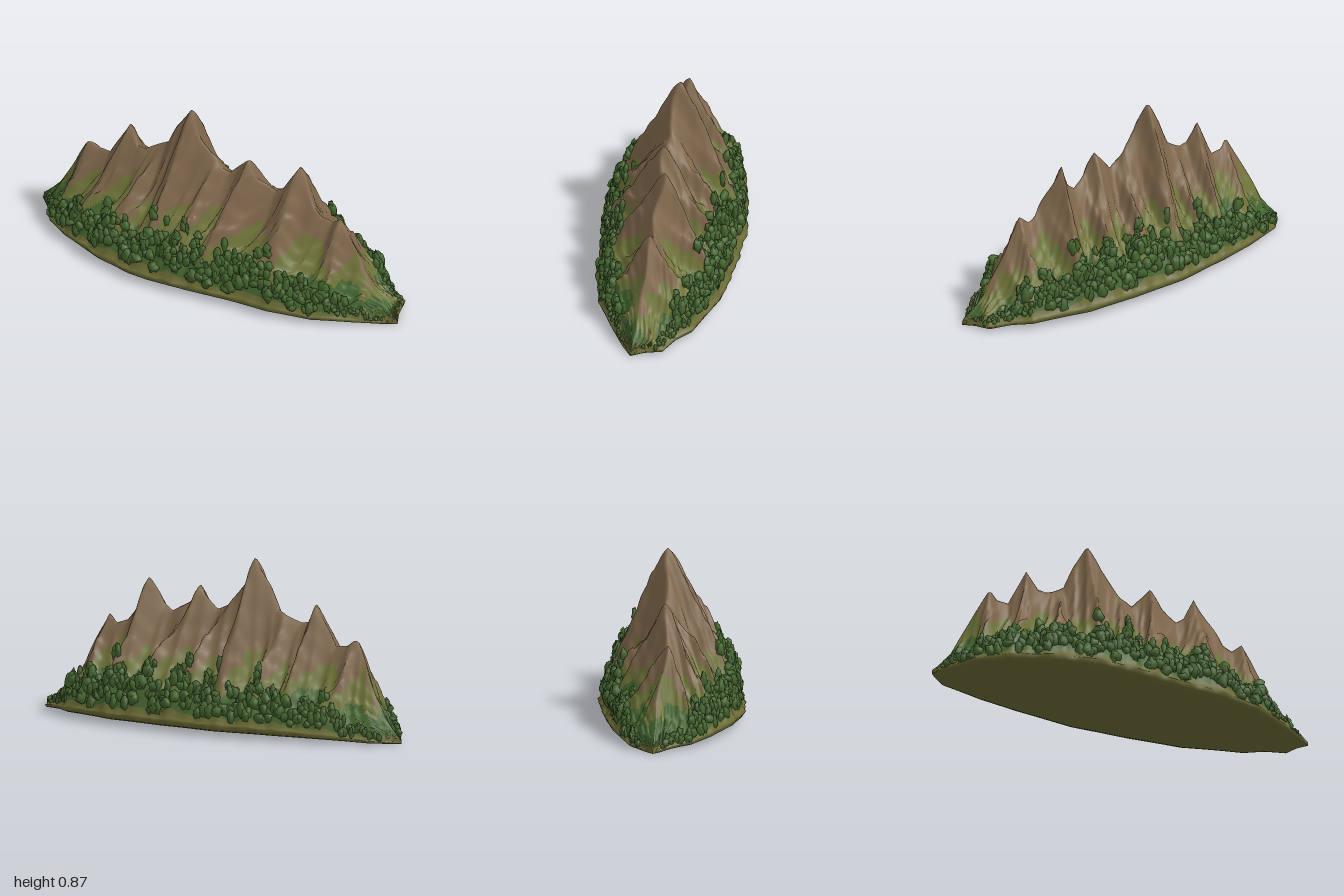
import * as THREE from 'three';
import { mergeGeometries, mergeVertices } from 'three/addons/utils/BufferGeometryUtils.js';

// Piecewise-linear curve through [x, value] points
const curve = (pts) => (x) => {
  let i = 0;
  while (i < pts.length - 2 && x > pts[i + 1][0]) i++;
  const [x0, a] = pts[i], [x1, b] = pts[i + 1];
  return a + (b - a) * Math.min(1, Math.max(0, (x - x0) / (x1 - x0)));
};
const mix = (a, b, t) => a + (b - a) * t;

// Footprint edges and the line of the ridge, as z along x
const backEdge = curve([[-1, 0.28], [-0.98, 0.23], [-0.92, 0.12], [-0.8, 0.02], [-0.7, -0.06], [-0.5, -0.18], [-0.2, -0.33],
  [0.1, -0.42], [0.38, -0.485], [0.7, -0.485], [0.8, -0.44], [0.91, -0.42], [0.95, -0.34], [1, -0.28]]);
const frontEdge = curve([[-1, 0.28], [-0.97, 0.31], [-0.9, 0.35], [-0.8, 0.43], [-0.65, 0.467], [-0.4, 0.483], [-0.2, 0.46],
  [-0.1, 0.43], [0.1, 0.345], [0.3, 0.25], [0.5, 0.17], [0.7, 0.05], [0.85, -0.1], [0.95, -0.21], [1, -0.28]]);
const ridgeZ = curve([[-1, 0.28], [-0.85, 0.24], [-0.7, 0.25], [-0.6, 0.19], [-0.5, 0.16], [-0.4, 0.14], [-0.3, 0.07],
  [-0.17, 0.04], [-0.05, 0.04], [0.06, -0.02], [0.16, -0.04], [0.28, -0.08], [0.4, -0.17], [0.52, -0.17],
  [0.65, -0.22], [0.85, -0.25], [1, -0.28]]);

// Skyline with its peaks, and the smoother body below them
const skyline = curve([[-1, 0.015], [-0.95, 0.07], [-0.9, 0.13], [-0.85, 0.23], [-0.78, 0.36], [-0.71, 0.485], [-0.69, 0.49],
  [-0.66, 0.46], [-0.6, 0.455], [-0.5, 0.66], [-0.44, 0.56], [-0.4, 0.555], [-0.3, 0.62], [-0.25, 0.74],
  [-0.18, 0.865], [-0.165, 0.865], [-0.1, 0.74], [0, 0.61], [0.06, 0.58], [0.1, 0.63], [0.16, 0.695], [0.22, 0.6],
  [0.3, 0.55], [0.34, 0.58], [0.4, 0.715], [0.47, 0.6], [0.55, 0.48], [0.6, 0.46], [0.65, 0.5], [0.7, 0.42],
  [0.8, 0.24], [0.87, 0.13], [0.95, 0.06], [1, 0.015]]);
const body = curve([[-1, 0.015], [-0.85, 0.22], [-0.65, 0.47], [-0.3, 0.6], [0, 0.63], [0.4, 0.6], [0.65, 0.45],
  [0.85, 0.19], [1, 0.015]]);
const slope = curve([[0, 1], [0.04, 0.99], [0.1, 0.955], [0.2, 0.88], [0.4, 0.74], [0.6, 0.6], [0.8, 0.38],
  [0.88, 0.22], [0.94, 0.07], [1, 0]]);
// Spurs descend from the peaks and from between them, at whole numbers
const spurs = curve([[-1, -2], [-0.7, 0], [-0.5, 1], [-0.17, 3], [0.16, 5], [0.4, 6], [0.65, 7], [1, 9]]);

const rimY = (x) => 0.006 + 0.052 * (1 - x ** 4);
const floorY = (x) => 0.024 * (1 - Math.abs(x) ** 5);

// 0 on the spurs, 1 in the gullies; s runs from -1 (back) to 1 (front)
function gully(x, s) {
  const t = Math.abs(s), side = s < 0 ? 1.7 : 0;
  const p = Math.PI * spurs(x * (1 - 0.1 * t)) + t * 0.9 * Math.sin(x * 8 + side * 2);
  return 0.72 * Math.abs(Math.sin(p)) + 0.28 * Math.abs(Math.sin(p * 2.7 + t * 5 + side));
}

// Point on the mountain surface
function surface(x, s) {
  const t = Math.abs(s), rim = rimY(x), hump = Math.sin(Math.PI * t);
  const edge = s < 0 ? backEdge(x) : frontEdge(x);
  const top = Math.max(rim, mix(skyline(x), body(x), Math.min(1, 1.7 * t * t + 0.15 * t)));
  const carve = 0.15 * hump * gully(x, s) * Math.min(1, top / 0.5);
  const rough = 0.011 * Math.sin(x * 61 + s * 17) * Math.sin(s * 23 + x * 13) * hump;
  const y = Math.max(rim + 0.02 * Math.min(1, (1 - t) * 12) * (1 - x ** 4), rim + (top - rim) * slope(t) - carve + rough);
  const taper = 1 - x * x;
  const wobble = 0.012 * Math.sin(x * 33 + s * 3) * taper * hump;
  const crest = 0.012 * Math.sin(x * 40) * taper * (1 - t);
  const ragged = 0.007 * Math.sin(x * 47) * Math.sin(x * 19 + 1) * taper * s;
  return new THREE.Vector3(x, y, mix(ridgeZ(x), edge, t) + wobble + crest + ragged);
}

// Closed loop of cross-sections: over the top from back to front, then back underneath
function buildMountain(materials) {
  const cols = 240, half = 38, under = [0.97, 0.88, 0.4, -0.4, -0.88, -0.97];
  const ring = 2 * half + 1 + under.length;
  const pos = [], faces = [[], [], [], []];
  for (let i = 0; i <= cols; i++) {
    const x = -1 + (2 * i) / cols;
    for (let j = -half; j <= half; j++) pos.push(...surface(x, j / half).toArray());
    for (const s of under) {
      const edge = s < 0 ? backEdge(x) : frontEdge(x);
      const lift = Math.abs(s) > 0.9 ? 0.35 : 0;
      pos.push(x, mix(floorY(x), rimY(x), lift), mix(ridgeZ(x), edge, Math.abs(s)));
    }
  }
  // Rock above, meadow in the gullies, woodland below, grass at the rim and underneath
  const kind = (i, j) => {
    if (j >= 2 * half) return 3;
    const x = -1 + (2 * i + 1) / cols, s = (j + 0.5 - half) / half;
    const y = surface(x, s).y, g = gully(x, s);
    const n = 0.015 * Math.sin(x * 70 + s * 30) + 0.025 * Math.sin(x * 15 + s * 4);
    if (Math.abs(s) > 0.93 || y < rimY(x) + 0.025) return 3;
    const ends = 1 - 0.45 * x ** 4;
    const from = s < 0 ? 0.6 : 0.76;
    const thin = x > from ? Math.min(0.08, (x - from) * 0.6) : 0;
    if (y < (0.18 + 0.07 * g + n) * ends - thin) return 2;
    return y < (0.22 + 0.19 * g + n) * ends - thin * 0.8 ? 1 : 0;
  };
  for (let i = 0; i < cols; i++) {
    for (let j = 0; j < ring; j++) {
      const k = (j + 1) % ring;
      const a = i * ring + j, b = a + ring, c = i * ring + k, d = c + ring;
      faces[kind(i, j)].push(a, c, b, b, c, d);
    }
  }
  const geo = new THREE.BufferGeometry();
  geo.setAttribute('position', new THREE.Float32BufferAttribute(pos, 3));
  geo.setIndex(faces.flat());
  let start = 0;
  faces.forEach((f, m) => { geo.addGroup(start, f.length, m); start += f.length; });
  geo.computeVertexNormals();
  const mesh = new THREE.Mesh(geo, materials);
  mesh.name = 'mountainRange';
  return mesh;
}

let seed = 11;
const rand = () => {
  seed = (seed * 16807) % 2147483647;
  return seed / 2147483647;
};

// Ragged upright tree crown, mostly sunk into the slope
function crown(x, s, width, height) {
  const geo = new THREE.IcosahedronGeometry(1, 1);
  geo.deleteAttribute('uv');
  geo.deleteAttribute('normal');
  const g = mergeVertices(geo, 1e-3), p = g.attributes.position;
  for (let i = 0; i < p.count; i++) {
    const k = 0.6 + 0.6 * rand();
    p.setXYZ(i, p.getX(i) * k, p.getY(i) * k, p.getZ(i) * k);
  }
  g.scale(width, height / 2, width * 0.8);
  const at = surface(x, s);
  g.translate(at.x, at.y + height * 0.12, at.z);
  g.computeVertexNormals();
  return g;
}

export function createModel() {
  const material = (name, color) => {
    const m = new THREE.MeshStandardMaterial({ color });
    m.name = name;
    return m;
  };
  const rock = material('brown rock', 0x80684c);
  const meadow = material('meadow green', 0x70753a);
  const woods = material('forest green', 0x45652f);
  const grass = material('olive grass', 0x6a6a35);

  const model = new THREE.Group();
  model.name = 'mountain';
  model.add(buildMountain([rock, meadow, woods, grass]));

  // Forest belt on both long sides, with taller clumps at intervals
  for (const side of [1, -1]) {
    const crowns = [];
    for (let i = 0; i < 210; i++) {
      const x = -0.95 + 1.9 * ((i + rand()) / 210);
      const thin = x > 0.75 || (side < 0 && x > 0.6) ? 0.65 : 1;
      const fade = (1 - 0.6 * x ** 6) * thin;
      const t = 0.74 + 0.18 * rand();
      crowns.push(crown(x, side * t, (0.018 + 0.016 * rand()) * fade, (0.045 + 0.05 * rand()) * fade));
    }
    for (const cx of [-0.65, -0.42, -0.12, 0.03, 0.24, 0.38, 0.57, 0.74]) {
      for (let i = 0; i < 12; i++) {
        const x = cx + 0.1 * (rand() - 0.5), t = 0.6 + 0.24 * rand();
        crowns.push(crown(x, side * t, 0.016 + 0.014 * rand(), 0.05 + 0.05 * rand()));
      }
    }
    const forest = new THREE.Mesh(mergeGeometries(crowns), woods);
    forest.name = side > 0 ? 'frontForest' : 'backForest';
    model.add(forest);
  }
  return model;
}
